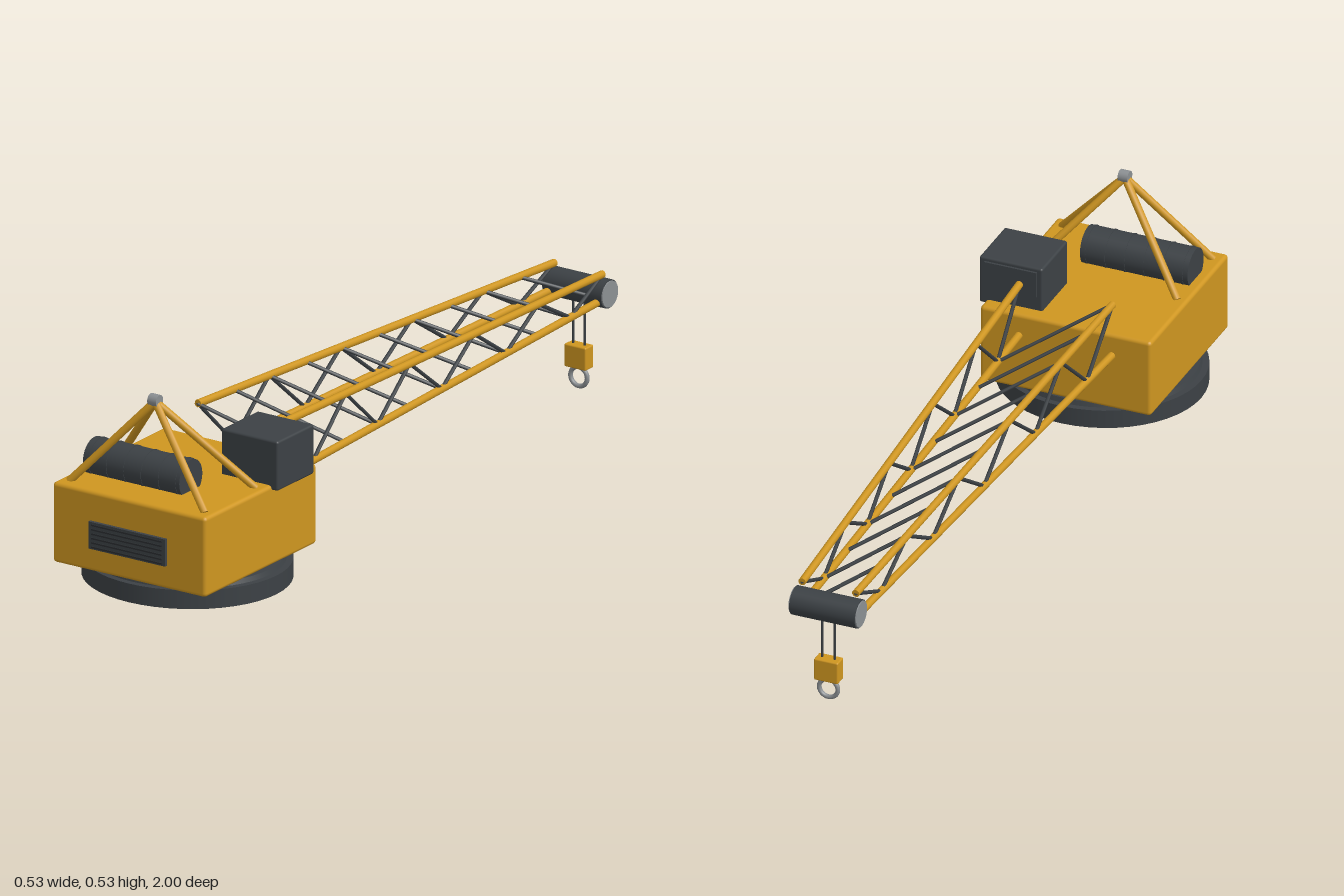
import * as THREE from 'three';
import { RoundedBoxGeometry } from 'three/addons/geometries/RoundedBoxGeometry.js';

const material = (name, color) => {
  const m = new THREE.MeshStandardMaterial({ color });
  m.name = name;
  return m;
};

export function createModel() {
  const yellow = material('machine yellow', 0xcf9620);
  const dark = material('dark steel', 0x3c4145);
  const black = material('black louvre', 0x2a2d30);
  const grey = material('bare metal', 0x8c9093);
  const model = new THREE.Group();
  const V = (x, y, z) => new THREE.Vector3(x, y, z);

  const add = (name, geometry, mat, x = 0, y = 0, z = 0) => {
    const mesh = new THREE.Mesh(geometry, mat);
    mesh.name = name;
    mesh.position.set(x, y, z);
    model.add(mesh);
    return mesh;
  };
  // Round bar between two points
  const bar = (name, a, b, r, mat, sides = 8) => {
    const mesh = add(name, new THREE.CylinderGeometry(r, r, a.distanceTo(b), sides), mat);
    mesh.position.copy(a).add(b).multiplyScalar(0.5);
    mesh.quaternion.setFromUnitVectors(V(0, 1, 0), b.clone().sub(a).normalize());
    return mesh;
  };
  // Cylinder lying along x
  const roller = (name, r, x0, x1, y, z, mat) =>
    bar(name, V(x0, y, z), V(x1, y, z), r, mat, 32);

  // Turntable
  const base = add('turntable', new THREE.CylinderGeometry(0.266, 0.266, 0.049, 48), dark, 0, 0.0465, 0.733);
  const ring = add('slewRing', new THREE.CylinderGeometry(0.245, 0.25, 0.014, 48), dark, 0, 0.076, 0.733);
  base.scale.z = ring.scale.z = 0.95;

  // Machine house
  add('house', new RoundedBoxGeometry(0.46, 0.21, 0.482, 2, 0.01), yellow, 0, 0.185, 0.745);

  // Front grille with slats
  add('grille', new THREE.BoxGeometry(0.23, 0.071, 0.01), dark, 0, 0.1775, 0.99);
  for (let i = 0; i < 6; i++)
    add('grilleSlat', new THREE.BoxGeometry(0.212, 0.004, 0.006), black, 0, 0.148 + i * 0.0115, 0.9945);

  // Cab with rear window panel
  add('cab', new RoundedBoxGeometry(0.17, 0.13, 0.158, 2, 0.006), dark, 0.163, 0.343, 0.621);
  add('cabWindow', new THREE.BoxGeometry(0.14, 0.07, 0.008), dark, 0.163, 0.363, 0.54);

  // Winch drum with cable ridges
  roller('winchDrum', 0.05, -0.203, 0.086, 0.321, 0.842, dark);
  for (let i = 0; i < 6; i++) {
    const x = -0.187 + i * 0.052;
    roller('winchRidge', 0.0515, x - 0.002, x + 0.002, 0.321, 0.842, dark);
  }

  // A-frame and its top pin
  const apex = V(0, 0.515, 0.872);
  for (const s of [-1, 1])
    for (const z of [0.95, 0.73]) bar('frameLeg', V(s * 0.203, 0.288, z), apex, 0.01, yellow, 10);
  roller('framePin', 0.016, -0.013, 0.013, 0.518, 0.872, grey);

  // Tapering boom: t runs from the house (0) to the tip (1)
  const top = (s, t) => V(s * (0.125 - 0.053 * t), 0.374 - 0.059 * t, 0.508 - 1.463 * t);
  const low = (s, t) => V(s * (0.125 - 0.053 * t), 0.231 + 0.017 * t, 0.508 - 1.463 * t);
  for (const s of [-1, 1]) {
    bar('upperChord', top(s, 0), top(s, 1), 0.01, yellow, 10);
    bar('lowerChord', low(s, 0), low(s, 1), 0.01, yellow, 10);
  }
  const bays = 10;
  for (let i = 0; i < bays; i++) {
    const a = i / bays, b = (i + 1) / bays;
    for (const s of [-1, 1])
      if (i % 2) bar('sideLacing', low(s, a), top(s, b), 0.005, dark, 6);
      else bar('sideLacing', top(s, a), low(s, b), 0.005, dark, 6);
    bar('crossLacing', top(-1, a), low(1, b), 0.005, dark, 6);
  }

  // Tip sheave with metal end caps
  roller('tipSheave', 0.037, -0.088, 0.088, 0.264, -0.962, dark);
  for (const s of [-1, 1]) roller('sheaveCap', 0.034, s * 0.086, s * 0.091, 0.264, -0.962, grey);

  // Hoist ropes, block and hook ring
  for (const s of [-1, 1])
    bar('hoistRope', V(s * 0.017, 0.11, -0.957), V(s * 0.017, 0.264, -0.957), 0.003, dark, 6);
  add('hookBlock', new RoundedBoxGeometry(0.065, 0.06, 0.036, 2, 0.004), yellow, 0, 0.086, -0.957);
  add('hookRing', new THREE.TorusGeometry(0.025, 0.006, 10, 28), grey, 0, 0.031, -0.957);

  return model;
}
